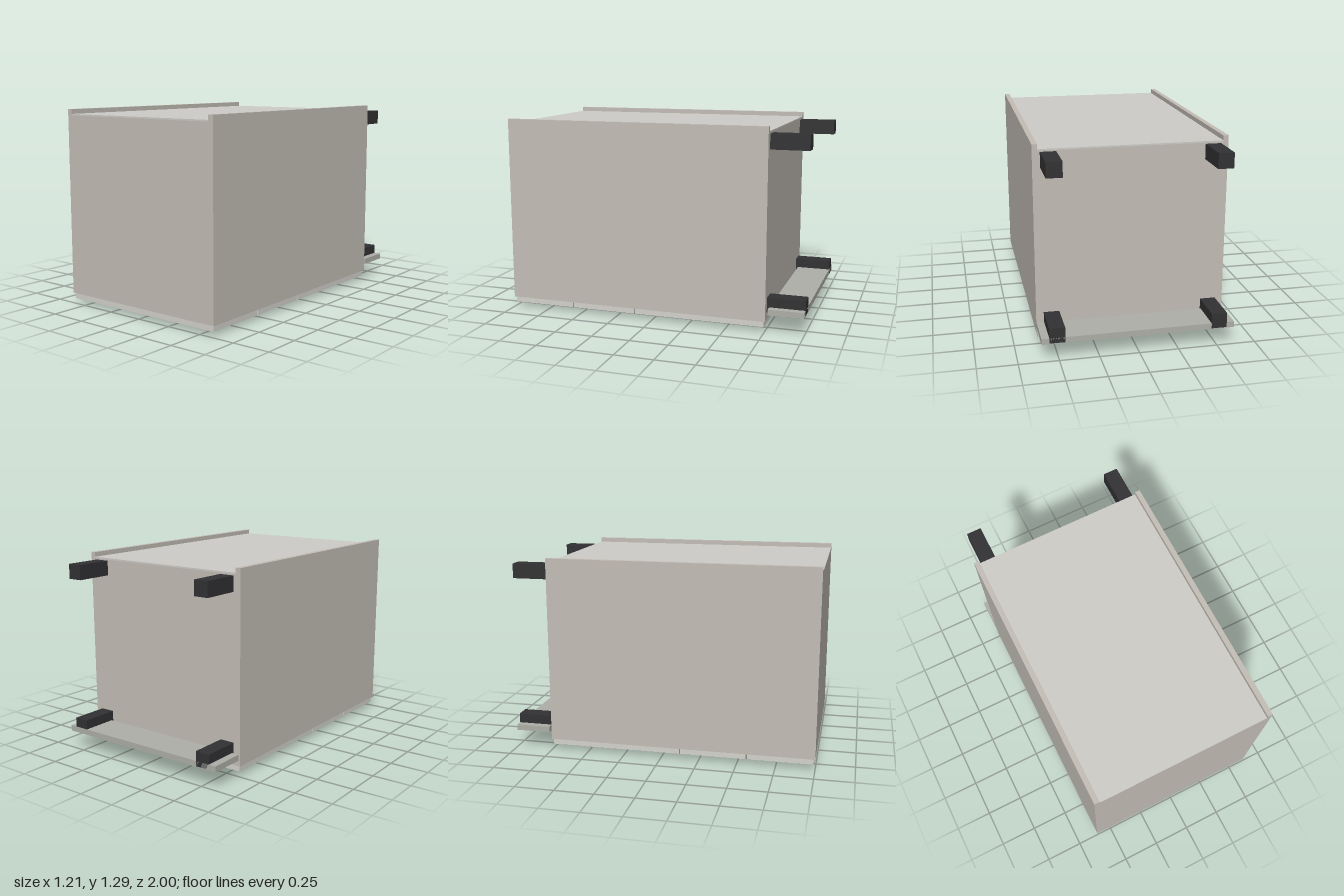
import * as THREE from 'three';

const mat = (color) => new THREE.MeshStandardMaterial({ color });

export function createModel() {
  const group = new THREE.Group();
  const carcass = mat(0xc4beb6), backing = mat(0xcecdc8), front = mat(0xd4d3cd);
  const plinth = mat(0xb0b0aa), black = mat(0x323234), metal = mat(0x808084);

  // Box given by its extents on each axis
  function box(name, material, [x0, x1], [y0, y1], [z0, z1]) {
    const mesh = new THREE.Mesh(new THREE.BoxGeometry(x1 - x0, y1 - y0, z1 - z0), material);
    mesh.position.set((x0 + x1) / 2, (y0 + y1) / 2, (z0 + z1) / 2);
    mesh.name = name;
    group.add(mesh);
  }

  // Cabinet lying on its drawer fronts: +z is its top, -z its base
  const inner = [-0.573, 0.573];
  box('leftSide', carcass, [0.573, 0.607], [0.07, 1.29], [-0.755, 1]);
  box('rightSide', carcass, [-0.607, -0.573], [0.07, 1.29], [-0.755, 1]);
  box('topPanel', carcass, inner, [0.07, 1.25], [0.965, 1]);
  box('basePanel', carcass, inner, [0.07, 1.25], [-0.755, -0.72]);
  box('backPanel', backing, inner, [1.25, 1.26], [-0.755, 1]);

  // Three drawer fronts, the lowest one deeper, each with a bar handle
  const drawers = [[0.565, 0.99, 0.777], [0.125, 0.558, 0.345], [-0.745, 0.118, -0.06]];
  for (const [z0, z1, handleZ] of drawers) {
    box('drawerFront', front, [-0.597, 0.597], [0.032, 0.07], [z0, z1]);
    box('handle', metal, [-0.118, 0.118], [0, 0.032], [handleZ - 0.014, handleZ + 0.014]);
  }

  // Four square legs
  for (const x of [-0.51, 0.51])
    for (const y of [0.167, 1.195])
      box('leg', black, [x - 0.049, x + 0.049], [y - 0.048, y + 0.048], [-1, -0.755]);

  // Plinth board across the front legs
  box('plinthBoard', plinth, [-0.607, 0.607], [0.115, 0.153], [-1, -0.77]);

  return group;
}
